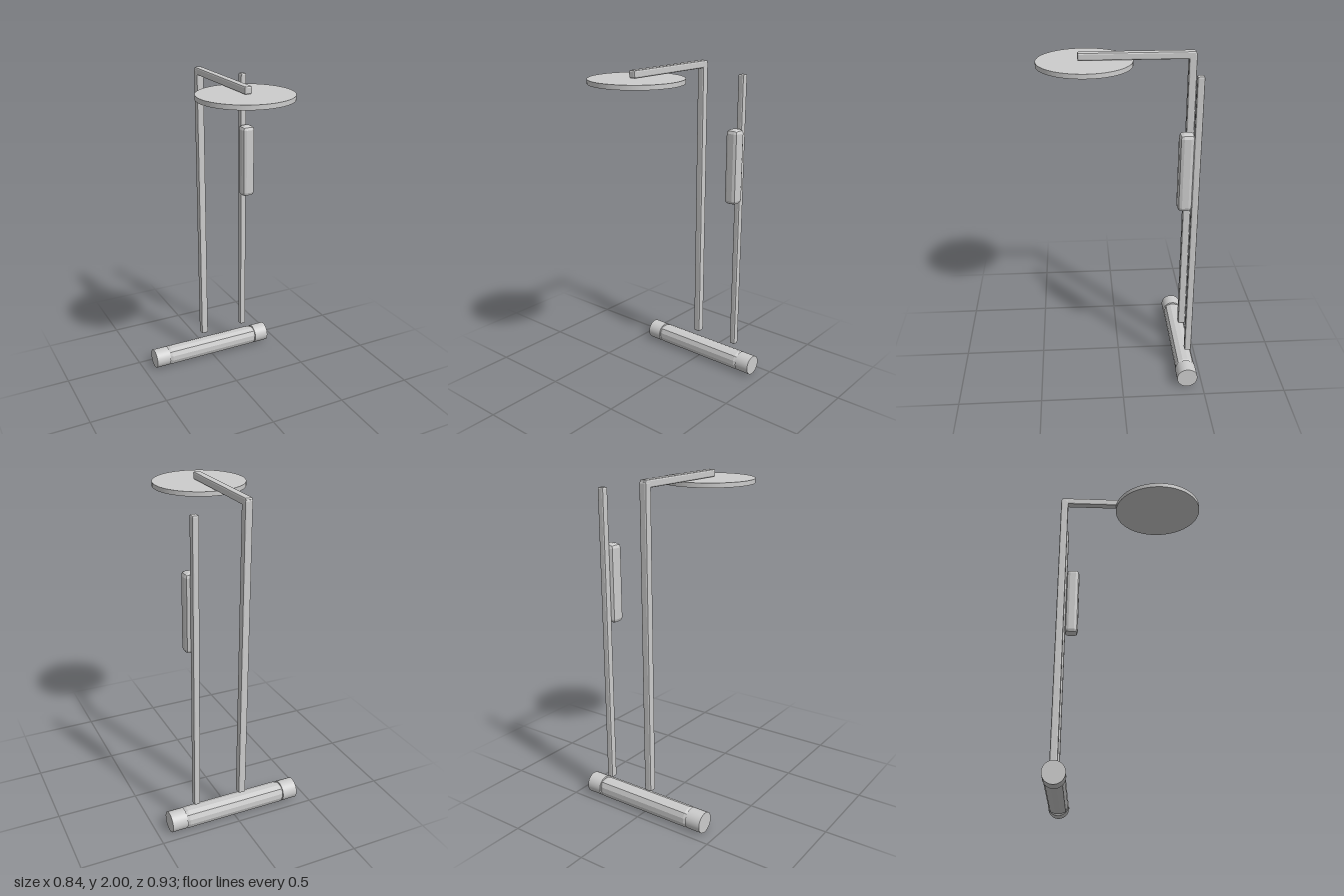
import * as THREE from 'three';
import { ConvexGeometry } from 'three/addons/geometries/ConvexGeometry.js';

const metal = new THREE.MeshStandardMaterial({ color: 0xcccccc });
metal.name = 'brushed grey metal';

// Directions spanning one octant, for a two-step faceted bevel
const octant = [
  [1, 0, 0], [0, 1, 0], [0, 0, 1],
  [1, 1, 0], [1, 0, 1], [0, 1, 1], [1, 1, 1],
].map((d) => new THREE.Vector3(...d).normalize());

function bevelledBox(name, min, max, r) {
  const half = max.map((v, i) => (v - min[i]) / 2);
  const points = [];
  for (const sx of [-1, 1]) for (const sy of [-1, 1]) for (const sz of [-1, 1]) {
    for (const d of octant) {
      points.push(new THREE.Vector3(
        sx * (half[0] - r + d.x * r),
        sy * (half[1] - r + d.y * r),
        sz * (half[2] - r + d.z * r),
      ));
    }
  }
  const mesh = new THREE.Mesh(new ConvexGeometry(points), metal);
  mesh.position.set(...max.map((v, i) => (v + min[i]) / 2));
  mesh.name = name;
  return mesh;
}

function cylinder(name, radius, length, x, y, z) {
  const mesh = new THREE.Mesh(new THREE.CylinderGeometry(radius, radius, length, 64), metal);
  mesh.position.set(x, y, z);
  mesh.name = name;
  return mesh;
}

export function createModel() {
  const shower = new THREE.Group();
  shower.name = 'showerSet';

  // Mixer bar with a round knob at each end
  shower.add(bevelledBox('mixerBar', [-0.35, 0.005, -0.462], [0.35, 0.121, -0.346], 0.042));
  for (const side of [-1, 1]) {
    const knob = cylinder(side > 0 ? 'leftKnob' : 'rightKnob', 0.063, 0.096, side * 0.374, 0.063, -0.404);
    knob.rotation.z = Math.PI / 2;
    shower.add(knob);
  }

  // Riser, overhead arm and rain head
  shower.add(bevelledBox('riserPole', [-0.065, 0.165, -0.448], [-0.018, 1.99, -0.401], 0.009));
  shower.add(bevelledBox('overheadArm', [-0.064, 1.955, -0.444], [-0.018, 2, 0.226], 0.009));
  shower.add(cylinder('rainHead', 0.275, 0.027, -0.041, 1.94, 0.188));

  // Slide rail with hand shower
  shower.add(bevelledBox('slideRail', [0.235, 0.165, -0.444], [0.275, 1.94, -0.402], 0.009));
  shower.add(bevelledBox('handShower', [0.212, 1.155, -0.405], [0.297, 1.62, -0.32], 0.024));

  return shower;
}
